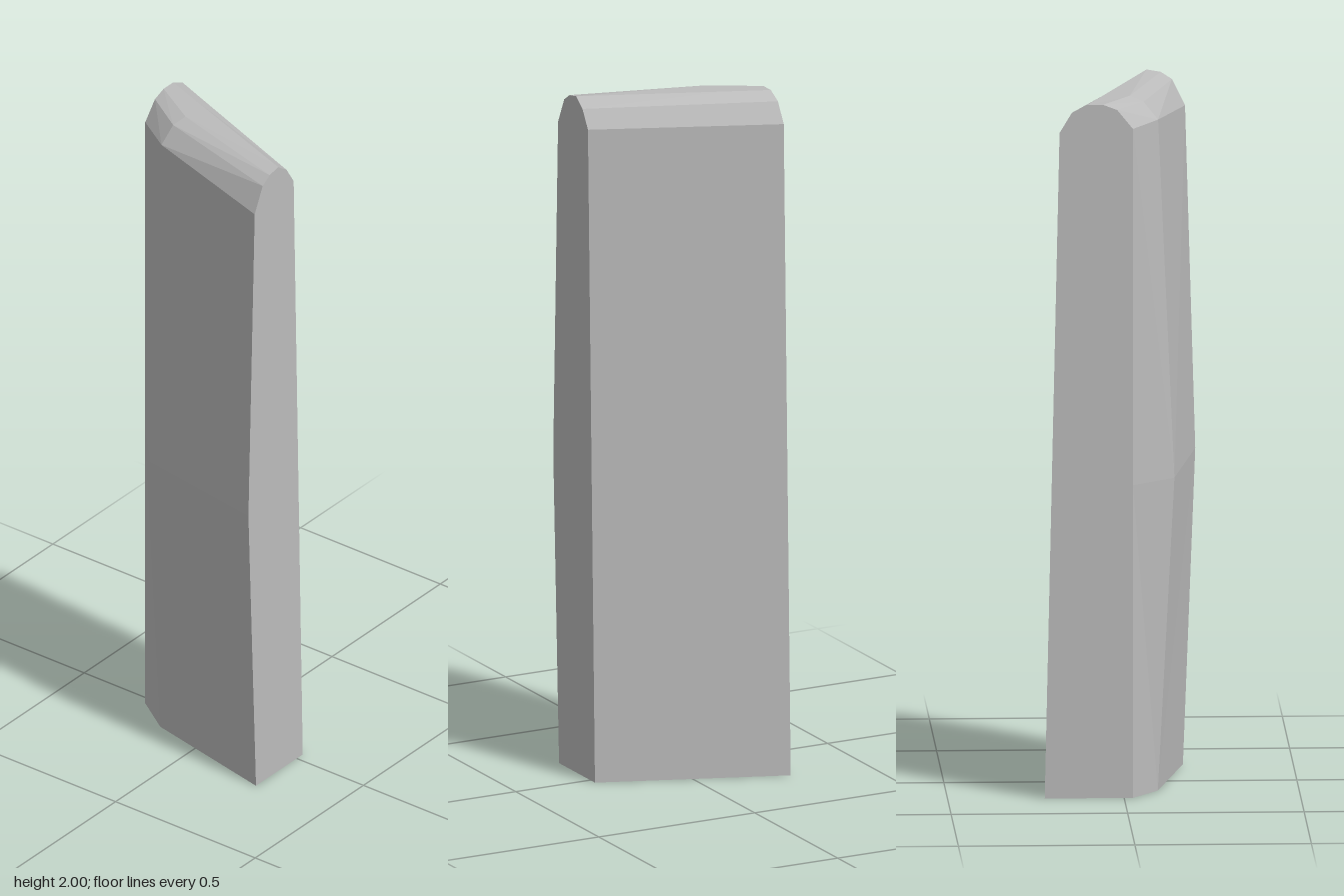
import * as THREE from 'three';

// Cross-sections along the slab: each runs from the back foot, over the rounded top, to the front foot.
// Every point is [x, y, z].
const at = (x, pts) => pts.map(([z, y]) => [x, y, z]);
const rightEnd = at(-0.262, [
  [-0.225, 0], [-0.183, 1.915], [-0.148, 1.973], [-0.105, 1.995], [-0.06, 1.995],
  [-0.02, 1.98], [0.025, 1.925], [0.025, 0.9], [0.025, 0],
]);
const ridge = [
  ...at(-0.15, [[-0.183, 0], [-0.141, 1.916], [-0.106, 1.973], [-0.064, 1.996]]),
  [-0.12, 1.995, 0.022], [-0.135, 1.98, 0.06], [-0.145, 1.93, 0.101],
  [-0.15, 0.9, 0.147], [-0.15, 0, 0.1],
];
const leftEnd = at(0.261, [
  [-0.028, 0], [0.014, 1.92], [0.047, 1.973], [0.085, 2], [0.125, 1.993],
  [0.157, 1.972], [0.194, 1.896], [0.223, 0.91], [0.188, 0],
]);

// Skins the sections into one closed, faceted solid.
function loft(sections) {
  const n = sections[0].length;
  const pos = [];
  const tri = (a, b, c) => pos.push(...a, ...b, ...c);
  for (let i = 0; i < sections.length - 1; i++) {
    for (let j = 0; j < n; j++) {
      const k = (j + 1) % n;
      const a = sections[i][j], b = sections[i + 1][j];
      const c = sections[i + 1][k], d = sections[i][k];
      // creases fan out from the ridge
      if (i === 0) { tri(a, d, c); tri(a, c, b); }
      else { tri(a, d, b); tri(d, c, b); }
    }
  }
  // flat end caps
  const first = sections[0], last = sections[sections.length - 1];
  for (let j = 1; j < n - 1; j++) {
    tri(first[0], first[j + 1], first[j]);
    tri(last[0], last[j], last[j + 1]);
  }
  const geo = new THREE.BufferGeometry();
  geo.setAttribute('position', new THREE.Float32BufferAttribute(pos, 3));
  geo.computeVertexNormals();
  return geo;
}

export function createModel() {
  const stone = new THREE.MeshStandardMaterial({ color: 0xbcbcbc, flatShading: true });
  stone.name = 'light grey stone';

  const slab = new THREE.Mesh(loft([rightEnd, ridge, leftEnd]), stone);
  slab.name = 'standingSlab';

  const group = new THREE.Group();
  group.name = 'stoneSlab';
  group.add(slab);
  return group;
}
